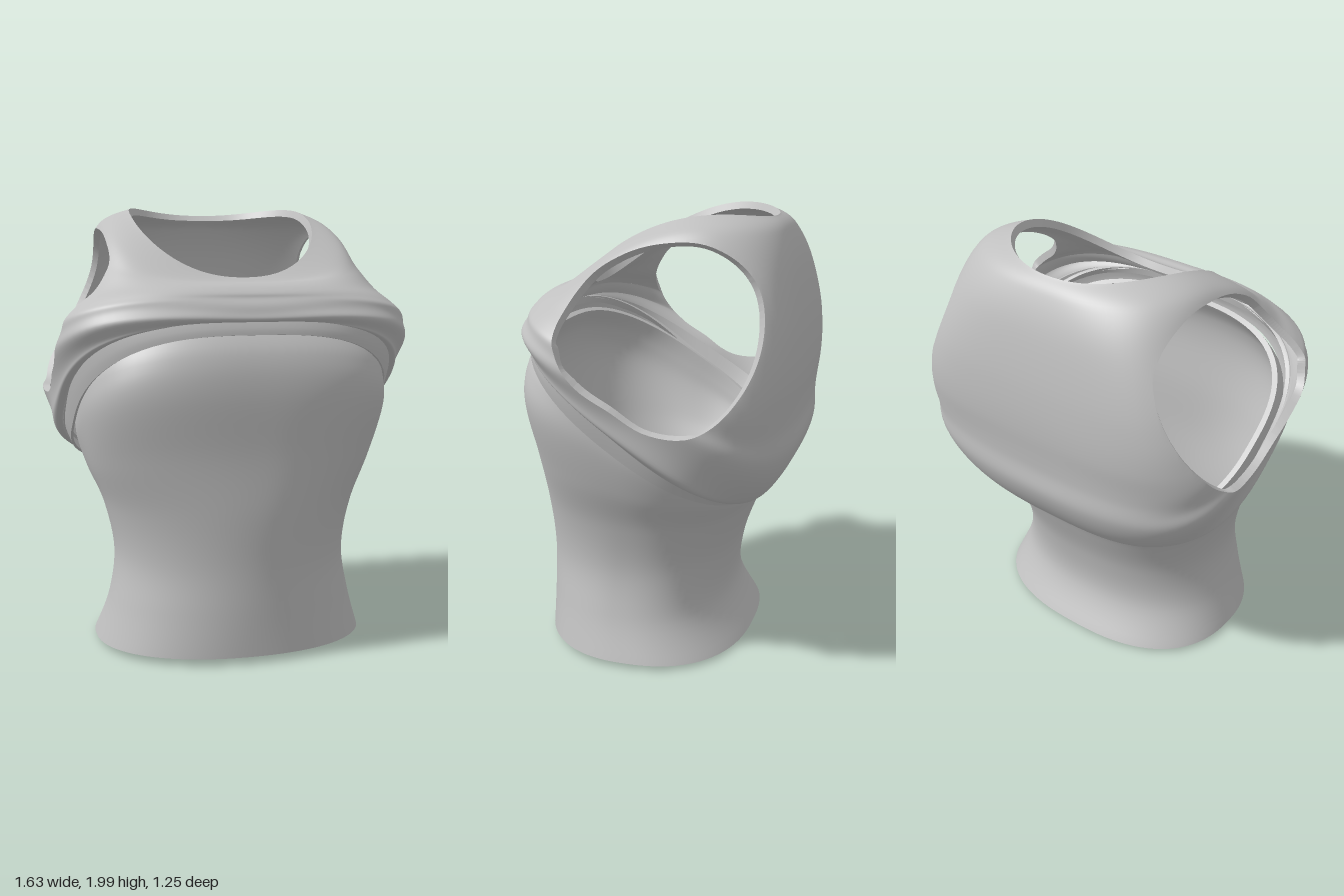
import * as THREE from 'three';
import { mergeVertices, mergeGeometries } from 'three/addons/utils/BufferGeometryUtils.js';

// Each ring: front z, front y, back z, back y, half width, lift of the sides,
// squareness of the front half, squareness of the back half
const BODY = [
  [0.575, 0.03, -0.39, 0.01, 0.625, 0, 2.2, 2.5], [0.58, 0.22, -0.295, 0.2, 0.565, 0, 2, 2.5],
  [0.585, 0.42, -0.315, 0.42, 0.535, 0, 1.95, 2.5], [0.6, 0.66, -0.385, 0.62, 0.575, 0, 2.1, 2.5],
  [0.605, 0.92, -0.43, 0.72, 0.645, 0, 2.6, 2.5], [0.625, 1.2, -0.44, 0.76, 0.69, 0, 3.2, 2.5],
  [0.605, 1.36, -0.445, 0.79, 0.7, 0, 3, 2.5], [0.545, 1.47, -0.45, 0.82, 0.7, 0, 2.7, 2.5],
];
const BAND = [
  [0.592, 1.44, -0.45, 0.73, 0.718, -0.07, 2.9, 2.6], [0.588, 1.47, -0.47, 0.76, 0.738, -0.04, 2.9, 2.7],
  [0.57, 1.52, -0.54, 0.83, 0.77, 0, 2.9, 2.9],
];
const TOP = [
  [0.56, 1.49, -0.45, 0.735, 0.75, -0.02, 2.9, 2.7], [0.583, 1.495, -0.51, 0.77, 0.785, -0.01, 3, 3],
  [0.59, 1.53, -0.61, 0.97, 0.82, 0, 3.2, 3.4], [0.56, 1.58, -0.605, 1.1, 0.825, 0, 3.2, 3.6],
  [0.545, 1.61, -0.625, 1.28, 0.79, 0, 3.1, 4.2], [0.51, 1.64, -0.62, 1.52, 0.7, 0, 3.1, 4.6],
  [0.465, 1.655, -0.58, 1.76, 0.615, 0.05, 3.1, 3.7], [0.42, 1.655, -0.52, 1.91, 0.545, 0.11, 2.9, 2.8],
  [0.375, 1.675, -0.465, 1.965, 0.42, 0.13, 2.3, 2.15],
];

// Armhole outline seen from the side: radii every 30 degrees from the front
const HOLE = [0.4, 0.38, 0.35, 0.355, 0.4, 0.43, 0.42, 0.41, 0.405, 0.36, 0.315, 0.355];
function armhole(p) {
  const dz = p.z + 0.1, dy = p.y - 1.52;
  const k = ((Math.atan2(dy, dz) / (Math.PI * 2) + 1) % 1) * 12;
  const i = Math.floor(k) % 12, t = k - Math.floor(k);
  const q = [11, 0, 1, 2].map((d) => HOLE[(i + d) % 12]);
  const r = q[1] + 0.5 * t * (q[2] - q[0] + t * (2 * q[0] - 5 * q[1] + 4 * q[2] - q[3] + t * (3 * (q[1] - q[2]) + q[3] - q[0])));
  return Math.max(Math.hypot(dz, dy) - r - 0.012, 0.44 - Math.abs(p.x));
}

// Smooth surface through the rings, with rounded-rectangle sections
function loft(rings, wrinkle = () => 0) {
  const [front, back, side, square] = [0, 2, 4, 6].map(
    (i) => new THREE.SplineCurve(rings.map((r) => new THREE.Vector2(r[i], r[i + 1])))
  );
  return (a, v) => {
    const f = front.getPoint(v), b = back.getPoint(v), w = side.getPoint(v), n = square.getPoint(v);
    const c0 = Math.cos(a), s0 = Math.sin(a), power = c0 > 0 ? n.x : n.y;
    const r = (Math.abs(c0) ** power + Math.abs(s0) ** power) ** (-1 / power);
    const c = c0 * r, s = s0 * r, k = 1 + wrinkle(a, v);
    return new THREE.Vector3(
      w.x * s * k,
      (f.y + b.y) / 2 + (f.y - b.y) / 2 * c + w.y * (1 - c * c),
      (f.x + b.x) / 2 + (f.x - b.x) / 2 * c * k
    );
  };
}

// Cloth shell with thickness; anything where keep() < 0 is cut away cleanly
function shell(point, nu, nv, thick, keep = () => 1) {
  const grid = [], e = 1e-3;
  for (let j = 0; j <= nv; j++) {
    const row = [];
    for (let i = 0; i < nu; i++) {
      const a = (i / nu) * Math.PI * 2, v = j / nv;
      const o = point(a, v);
      const du = point(a + e, v).sub(point(a - e, v));
      const dv = point(a, Math.min(1, v + e)).sub(point(a, Math.max(0, v - e)));
      const n = du.cross(dv).normalize();
      row.push({ o, i: o.clone().addScaledVector(n, -thick), f: keep(o) });
    }
    grid.push(row);
  }
  const outer = [], inner = [], rim = [];
  const tri = (list, ...pts) => pts.forEach((p) => list.push(p.x, p.y, p.z));
  const wall = (p, q) => { // p to q runs along the outer face's own edge
    tri(rim, q.o, p.o, p.i);
    tri(rim, q.o, p.i, q.i);
  };
  const cut = (p, q) => {
    if (p.f > q.f) [p, q] = [q, p];
    const t = p.f / (p.f - q.f);
    return { o: p.o.clone().lerp(q.o, t), i: p.i.clone().lerp(q.i, t), f: 0 };
  };
  const face = (corners) => {
    const poly = [];
    let leave, enter;
    corners.forEach((p, k) => {
      const q = corners[(k + 1) % 3];
      if (p.f >= 0) poly.push(p);
      if ((p.f >= 0) !== (q.f >= 0)) {
        const m = cut(p, q);
        poly.push(m);
        if (p.f >= 0) leave = m; else enter = m;
      }
    });
    for (let k = 1; k + 1 < poly.length; k++) {
      tri(outer, poly[0].o, poly[k].o, poly[k + 1].o);
      tri(inner, poly[0].i, poly[k + 1].i, poly[k].i);
    }
    if (leave && enter) wall(leave, enter);
  };
  for (let i = 0; i < nu; i++) {
    const n = (i + 1) % nu;
    for (let j = 0; j < nv; j++) {
      const [a, b, c, d] = [grid[j][i], grid[j][n], grid[j + 1][n], grid[j + 1][i]];
      face([a, b, c]);
      face([a, c, d]);
    }
    wall(grid[0][i], grid[0][n]);
    wall(grid[nv][n], grid[nv][i]);
  }
  return mergeGeometries([outer, inner, rim].map((list) => {
    let g = new THREE.BufferGeometry();
    g.setAttribute('position', new THREE.Float32BufferAttribute(list, 3));
    g = mergeVertices(g, 1e-5);
    g.computeVertexNormals();
    return g;
  }));
}

export function createModel() {
  const group = new THREE.Group();
  const cloth = new THREE.MeshStandardMaterial({ color: 0xc0c0c0 });
  cloth.name = 'grey cloth';
  const add = (name, geometry) => {
    const mesh = new THREE.Mesh(geometry, cloth);
    mesh.name = name;
    group.add(mesh);
  };

  // Fitted undershirt, open at both ends
  add('undershirt', shell(loft(BODY), 96, 48, 0.025));

  // Tucked band just under the rolled hem, dipping at the sides
  add('hemBand', shell(loft(BAND), 96, 6, 0.012));

  // Pulled-up tank top with gathered folds near the hem
  const folds = (a, v) => {
    const fade = Math.max(0, 1 - v / 0.6) * Math.min(1, v * 8);
    return 0.012 * fade * Math.sin(34 * v + 1.6 * Math.cos(2 * a) + 0.6 * Math.cos(5 * a));
  };
  add('tankTop', shell(loft(TOP, folds), 128, 72, 0.035, armhole));
  return group;
}
